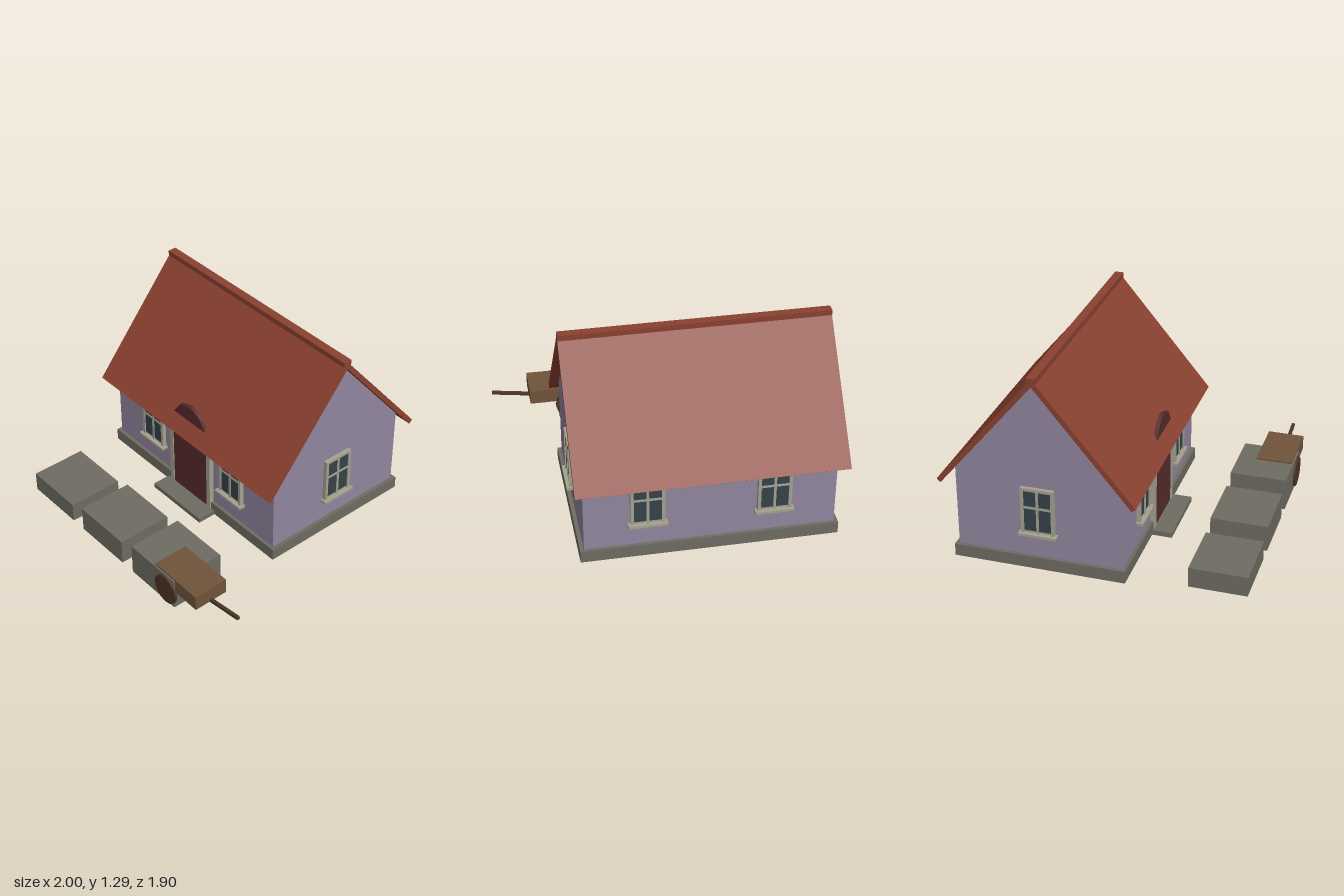
import * as THREE from 'three';

const material = (name, color) => {
  const m = new THREE.MeshStandardMaterial({ color });
  m.name = name;
  return m;
};

export function createModel() {
  const model = new THREE.Group();
  model.name = 'cottage';
  const wall = material('lilac plaster', 0x9286a0);
  const tile = material('red roof tile', 0x8a4130);
  const stone = material('grey stone', 0x6e6c62);
  const trim = material('pale trim', 0xa5a290);
  const glass = material('dark glass', 0x35424a);
  const doorRed = material('dark red door', 0x582c2e);
  const wood = material('cart wood', 0x70543a);
  const darkWood = material('dark wood', 0x4e3628);

  const CX = -0.17, CZ = -0.33; // centre of the house

  const add = (name, geometry, mat, parent = model) => {
    const mesh = new THREE.Mesh(geometry, mat);
    mesh.name = name;
    parent.add(mesh);
    return mesh;
  };
  // box given by its limits on each axis
  const box = (name, mat, [x0, x1], [y0, y1], [z0, z1], parent = model) => {
    const mesh = add(name, new THREE.BoxGeometry(x1 - x0, y1 - y0, z1 - z0), mat, parent);
    mesh.position.set((x0 + x1) / 2, (y0 + y1) / 2, (z0 + z1) / 2);
    return mesh;
  };
  // gable profile pulled along the length of the house
  const alongX = (name, mat, points, halfLength) => {
    const shape = new THREE.Shape(points.map(([x, y]) => new THREE.Vector2(x, y)));
    const geo = new THREE.ExtrudeGeometry(shape, { depth: 2 * halfLength, bevelEnabled: false });
    geo.translate(0, 0, -halfLength).rotateY(Math.PI / 2);
    const mesh = add(name, geo, mat);
    mesh.position.set(CX, 0, CZ);
    return mesh;
  };

  // House body
  box('foundation', stone, [CX - 0.8, CX + 0.8], [0, 0.08], [CZ - 0.542, CZ + 0.542]);
  alongX('walls', wall, [[-0.52, 0.08], [0.52, 0.08], [0.52, 0.611], [0, 1.235], [-0.52, 0.611]], 0.775);
  alongX('roof', tile, [
    [0.62, 0.54], [0, 1.284], [-0.62, 0.54], [-0.595, 0.52], [0, 1.234], [0.595, 0.52],
  ], 0.83);
  box('ridgeCap', tile, [CX - 0.83, CX + 0.83], [1.255, 1.29], [CZ - 0.028, CZ + 0.028]);

  // Door with its arched head poking through the roof
  box('door', doorRed, [CX - 0.168, CX + 0.168], [0.002, 0.58], [CZ + 0.515, CZ + 0.546]);
  const arch = add('doorArch', new THREE.CylinderGeometry(0.16, 0.16, 0.026, 10).rotateX(Math.PI / 2), doorRed);
  arch.position.set(CX + 0.003, 0.58, CZ + 0.535);
  for (const side of [-1, 1]) {
    const x = CX + side * 0.184;
    box('doorPost', trim, [x - 0.017, x + 0.017], [0.03, 0.6], [CZ + 0.515, CZ + 0.552]);
  }
  box('doorStep', stone, [-0.4, 0.065], [0, 0.033], [CZ + 0.546, CZ + 0.67]);

  // Windows, facing +z before turning to their wall
  const addWindow = (x, z, turn) => {
    const win = new THREE.Group();
    win.name = 'window';
    box('windowBack', trim, [-0.105, 0.105], [0.24, 0.548], [-0.01, 0.016], win);
    box('windowGlass', glass, [-0.085, 0.085], [0.26, 0.53], [0.014, 0.02], win);
    for (const s of [-1, 1]) {
      box('windowJamb', trim, [s * 0.095 - 0.01, s * 0.095 + 0.01], [0.24, 0.548], [0, 0.027], win);
    }
    box('windowHead', trim, [-0.085, 0.085], [0.53, 0.548], [0, 0.027], win);
    box('windowMullion', trim, [-0.008, 0.008], [0.245, 0.53], [0, 0.025], win);
    box('windowCrossbar', trim, [-0.085, 0.085], [0.41, 0.425], [0, 0.024], win);
    box('windowSill', trim, [-0.12, 0.12], [0.228, 0.245], [-0.01, 0.046], win);
    win.position.set(x, 0, z);
    win.rotation.y = turn;
    model.add(win);
  };
  for (const s of [-1, 1]) {
    addWindow(CX + s * 0.388, CZ + 0.52, 0);
    addWindow(CX + s * 0.388, CZ - 0.52, Math.PI);
    addWindow(CX + s * 0.775, CZ, s * Math.PI / 2);
  }

  // Stone blocks rising in height in front of the house
  [0.13, 0.17, 0.21].forEach((height, i) => {
    const x = -0.89 + i * 0.517;
    box('stoneBlock', stone, [x, x + 0.412], [0, height], [0.577, 0.94]);
  });

  // Handcart
  const cart = new THREE.Group();
  cart.name = 'handcart';
  model.add(cart);
  box('cartBody', wood, [0.365, 0.75], [0.12, 0.22], [0.695, 0.93], cart);
  for (const z of [0.683, 0.942]) {
    const wheel = add('cartWheel', new THREE.CylinderGeometry(0.1, 0.1, 0.016, 12).rotateX(Math.PI / 2), darkWood, cart);
    wheel.position.set(0.48, 0.1, z);
  }
  const handle = add('cartHandle', new THREE.BoxGeometry(0.29, 0.02, 0.02), darkWood, cart);
  handle.position.set(0.855, 0.143, 0.812);
  handle.rotation.z = 0.15;

  return model;
}
